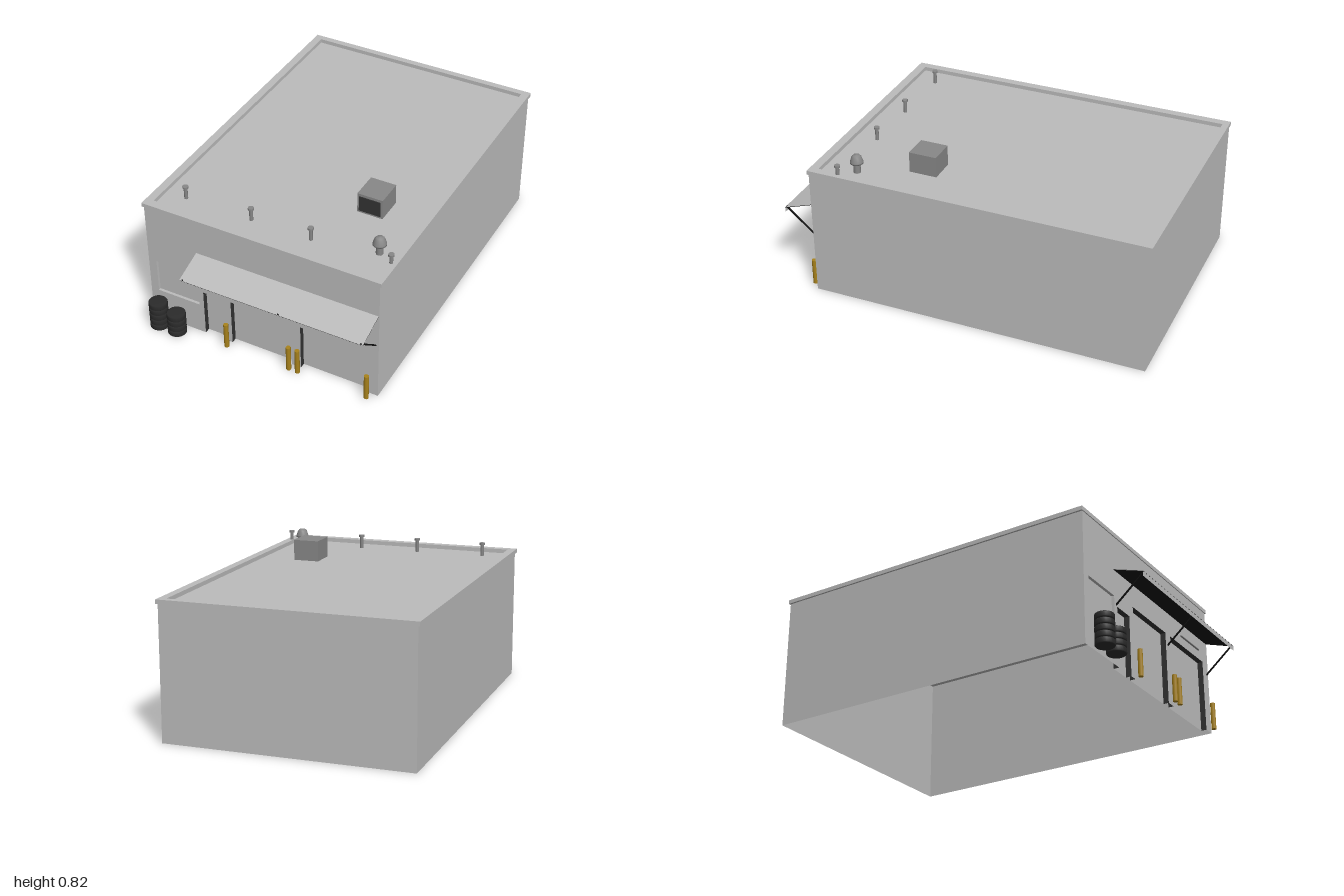
import * as THREE from 'three';

const mat = (name, color, side = THREE.FrontSide) => {
  const m = new THREE.MeshStandardMaterial({ color, side });
  m.name = name;
  return m;
};

export function createModel() {
  const root = new THREE.Group();
  root.name = 'garage';

  const wall = mat('wall grey', 0xbcbcbc, THREE.DoubleSide);
  const dark = mat('dark trim', 0x333333, THREE.DoubleSide);
  const black = mat('black metal', 0x111111, THREE.DoubleSide);
  const metal = mat('vent metal', 0x888888);
  const rubber = mat('rubber', 0x2b2b2b);
  const yellow = mat('post yellow', 0xa8821c);

  const add = (name, geo, material, x = 0, y = 0, z = 0, parent = root) => {
    const m = new THREE.Mesh(geo, material);
    m.name = name;
    m.position.set(x, y, z);
    parent.add(m);
    return m;
  };
  const plane = (name, w, h, material, pos, rx = 0, ry = 0, parent = root) => {
    const m = add(name, new THREE.PlaneGeometry(w, h), material, ...pos, parent);
    m.rotation.set(rx, ry, 0);
    return m;
  };
  const group = (name) => {
    const g = new THREE.Group();
    g.name = name;
    root.add(g);
    return g;
  };

  // Shell dimensions
  const X = 0.66, ZF = 0.838, ZB = -0.995, H = 0.712;
  const depth = ZF - ZB, midZ = (ZF + ZB) / 2;

  // Side walls, back wall and roof: an open-bottomed shell
  for (const s of [-1, 1])
    plane(s > 0 ? 'leftWall' : 'rightWall', depth, H, wall, [s * X, H / 2, midZ], 0, s * Math.PI / 2);
  plane('backWall', 2 * X, H, wall, [0, H / 2, ZB], 0, Math.PI);
  plane('roof', 2 * X, depth, wall, [0, 0.709, midZ], -Math.PI / 2);

  // Front openings: [name, x0, x1, y0, y1, recess, reveal material]
  const openings = [
    ['sideDoor', -0.34, -0.218, 0, 0.325, 0.03, dark],
    ['garageDoor', -0.178, 0.172, 0, 0.393, 0.03, dark],
    ['garageDoor', 0.225, 0.6, 0, 0.393, 0.03, dark],
    ['window', -0.615, -0.367, 0.18, 0.375, 0.015, wall],
  ];

  // Front wall notched for the doors and pierced for the window
  const front = new THREE.Shape();
  front.moveTo(-X, 0);
  for (const [, x0, x1, y0, y1] of openings) {
    if (y0 > 0) {
      front.holes.push(new THREE.Path([[x0, y0], [x1, y0], [x1, y1], [x0, y1]]
        .map(([x, y]) => new THREE.Vector2(x, y))));
    } else {
      front.lineTo(x0, 0);
      front.lineTo(x0, y1);
      front.lineTo(x1, y1);
      front.lineTo(x1, 0);
    }
  }
  front.lineTo(X, 0);
  front.lineTo(X, H);
  front.lineTo(-X, H);
  add('frontWall', new THREE.ShapeGeometry(front), wall, 0, 0, ZF);

  // Recessed panels with their reveals
  for (const [name, x0, x1, y0, y1, d, reveal] of openings) {
    const g = group(name);
    const w = x1 - x0, h = y1 - y0, cx = (x0 + x1) / 2, cy = (y0 + y1) / 2, cz = ZF - d / 2;
    plane('panel', w, h, wall, [cx, cy, ZF - d], 0, 0, g);
    for (const [x, s] of [[x0, 1], [x1, -1]])
      plane('sideReveal', d, h, reveal, [x, cy, cz], 0, s * Math.PI / 2, g);
    plane('topReveal', w, d, reveal, [cx, y1, cz], Math.PI / 2, 0, g);
    if (y0 > 0) plane('sill', w, d, reveal, [cx, y0, cz], -Math.PI / 2, 0, g);
  }

  // Coping around the roof edge
  const rect = (C, x, zb, zf) => new C([[-x, -zf], [x, -zf], [x, -zb], [-x, -zb]]
    .map(([a, b]) => new THREE.Vector2(a, b)));
  const rim = rect(THREE.Shape, 0.67, -1, 0.843);
  rim.holes.push(rect(THREE.Path, 0.627, -0.965, 0.797));
  const coping = add('coping', new THREE.ExtrudeGeometry(rim, { depth: 0.022, bevelEnabled: false }), wall, 0, 0.709, 0);
  coping.rotation.x = -Math.PI / 2;

  // Awning: thin sloped sheet with dark underside, front lip and struts
  const awning = group('awning');
  const rise = 0.055, run = 1 - ZF, slope = Math.atan2(rise, run), len = Math.hypot(rise, run);
  const tilt = -Math.PI / 2 + slope, az = (1 + ZF) / 2;
  plane('awningTop', 1.02, len, wall, [0.145, 0.4945, az], tilt, 0, awning);
  plane('awningUnderside', 1.02, len, black, [0.145, 0.4915, az], tilt, 0, awning);
  plane('awningLip', 1.02, 0.028, wall, [0.145, 0.453, 0.999], 0, 0, awning);
  for (const x of [-0.349, 0.195, 0.643]) {
    const strut = add('strut', new THREE.BoxGeometry(0.008, 0.006, Math.hypot(0.14, 0.163)), black, x, 0.4, 0.9165, awning);
    strut.rotation.x = -Math.atan2(0.14, 0.163);
  }

  // Lamp bar over the second garage door
  const lamp = add('lampBar', new THREE.CapsuleGeometry(0.005, 0.2, 3, 8), metal, 0.405, 0.422, 0.862);
  lamp.rotation.z = Math.PI / 2;

  // Guard posts beside the garage doors
  for (const x of [-0.19, 0.175, 0.225, 0.614])
    add('guardPost', new THREE.CylinderGeometry(0.0135, 0.0135, 0.146, 8).toNonIndexed(), yellow, x, 0.073, 0.875);

  // Tyre stacks
  const tyreProfile = [[0, 0], [0.046, 0], [0.05, 0.004], [0.05, 0.026], [0.046, 0.03], [0, 0.03]]
    .map(([r, y]) => new THREE.Vector2(r, y));
  const tyre = new THREE.LatheGeometry(tyreProfile, 20);
  for (const [x, n] of [[-0.583, 5], [-0.475, 4]]) {
    const stack = group('tyreStack');
    for (let i = 0; i < n; i++) add('tyre', tyre, rubber, x, i * 0.0335, 0.9, stack);
  }

  // Rooftop cooling unit with a dark grille
  add('coolingUnit', new THREE.BoxGeometry(0.14, 0.112, 0.15), metal, 0.37, 0.765, 0.299);
  add('coolingGrille', new THREE.BoxGeometry(0.118, 0.085, 0.006), dark, 0.37, 0.764, 0.376);

  // Small vent pipes
  for (const x of [-0.51, -0.13, 0.205, 0.639]) {
    const vent = group('ventPipe');
    add('pipe', new THREE.CylinderGeometry(0.01, 0.01, 0.068, 8), metal, x, 0.741, 0.68, vent);
    add('pipeCap', new THREE.CylinderGeometry(0.016, 0.016, 0.011, 8), metal, x, 0.779, 0.68, vent);
  }

  // Mushroom vent
  const mushroom = group('mushroomVent');
  add('ventNeck', new THREE.CylinderGeometry(0.019, 0.019, 0.065, 10), metal, 0.547, 0.74, 0.618, mushroom);
  const cap = [[0, 0], [0.035, 0], [0.035, 0.008], [0.026, 0.035], [0.018, 0.044], [0, 0.048]]
    .map(([r, y]) => new THREE.Vector2(r, y));
  add('ventCap', new THREE.LatheGeometry(cap, 14), metal, 0.547, 0.764, 0.618, mushroom);

  return root;
}
